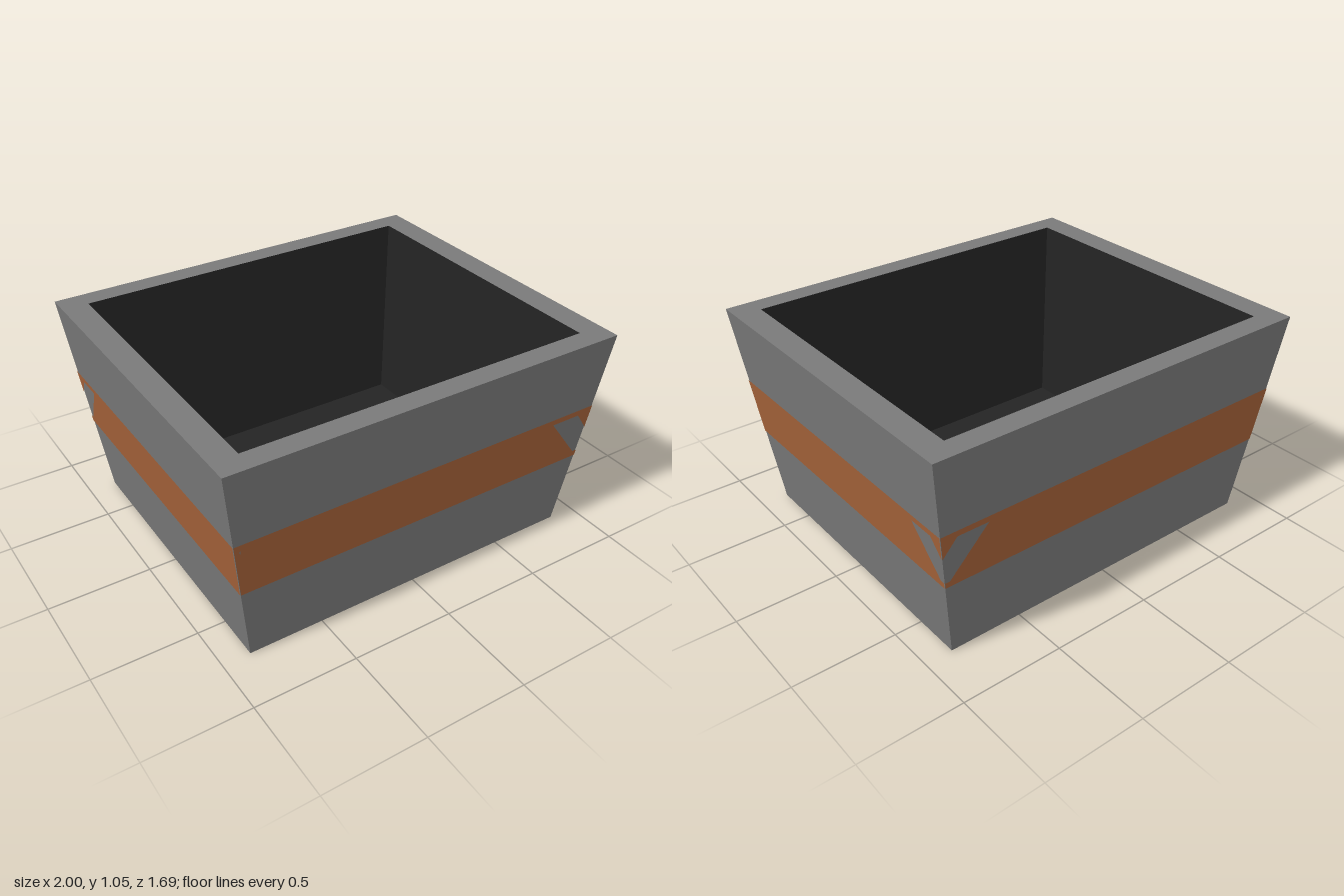
import * as THREE from 'three';

const HEIGHT = 1.05;
const DEPTH_RATIO = 0.843; // z size relative to x size
const halfX = (y) => 0.865 + (0.135 * y) / HEIGHT; // tapered outer wall

// Four corners of a rectangle at height y, counter-clockwise seen from above
const ring = (hx, hz, y) => [[-hx, y, hz], [hx, y, hz], [hx, y, -hz], [-hx, y, -hz]];

// Flat-shaded geometry from a list of quads
function quads(list) {
  const pos = [];
  for (const [a, b, c, d] of list) pos.push(...a, ...b, ...c, ...a, ...c, ...d);
  const geo = new THREE.BufferGeometry();
  geo.setAttribute('position', new THREE.Float32BufferAttribute(pos, 3));
  geo.computeVertexNormals();
  return geo;
}

// Four side quads joining one ring to the next
const skirt = (a, b) => a.map((p, i) => [p, a[(i + 1) % 4], b[(i + 1) % 4], b[i]]);

// Slanted hole with softened corners
function slantedHole(x, lo, hi, width, shift) {
  const pts = [[x, hi], [x + shift, lo], [x + shift + width, lo], [x + width, hi]]
    .map(([px, py]) => new THREE.Vector2(px, py));
  const path = new THREE.Path();
  pts.forEach((p, i) => {
    const toward = (q) => p.clone().add(q.clone().sub(p).setLength(0.025));
    const start = toward(pts[(i + 3) % 4]);
    const end = toward(pts[(i + 1) % 4]);
    if (i === 0) path.moveTo(start.x, start.y);
    else path.lineTo(start.x, start.y);
    path.quadraticCurveTo(p.x, p.y, end.x, end.y);
  });
  path.closePath();
  return path;
}

// Hazard band outline: five full holes and one cut off by the corner
function bandShape() {
  const y0 = 0.39, y1 = 0.675, lo = 0.42, hi = 0.645;
  const width = 0.155, shift = 0.18, pitch = 0.33, first = -0.935;
  const last = first + 5 * pitch;
  const cutY = 0.555;
  const shape = new THREE.Shape([
    [-halfX(y0), y0], [halfX(y0), y0], [halfX(lo), lo],
    [last + shift, lo], [last, hi], [last + width, hi],
    [halfX(cutY), cutY], [halfX(y1), y1], [-halfX(y1), y1],
  ].map(([x, y]) => new THREE.Vector2(x, y)));
  for (let i = 0; i < 5; i++) {
    shape.holes.push(slantedHole(first + i * pitch, lo, hi, width, shift));
  }
  return shape;
}

// Lay the band on a wall; sign picks the near or opposite wall
function bandGeometry(shape, alongZ, sign) {
  const geo = new THREE.ShapeGeometry(shape, 4);
  const pos = geo.attributes.position;
  for (let i = 0; i < pos.count; i++) {
    const u = pos.getX(i), y = pos.getY(i), lift = 0.003;
    if (alongZ) pos.setXYZ(i, sign * (halfX(y) + lift), y, -u * DEPTH_RATIO);
    else pos.setXYZ(i, u, y, sign * (halfX(y) * DEPTH_RATIO + lift));
  }
  if (sign < 0) geo.setIndex(Array.from(geo.index.array).reverse());
  geo.computeVertexNormals();
  return geo;
}

export function createModel() {
  const group = new THREE.Group();
  group.name = 'openContainer';
  const material = (name, color) => {
    const m = new THREE.MeshStandardMaterial({ color });
    m.name = name;
    return m;
  };
  const grey = material('grey', 0x7a7a7a);
  const dark = material('darkInterior', 0x242424);
  const orange = material('orange', 0xa6633a);
  const add = (name, geo, mat) => {
    const mesh = new THREE.Mesh(geo, mat);
    mesh.name = name;
    group.add(mesh);
  };

  const base = ring(halfX(0), halfX(0) * DEPTH_RATIO, 0);
  const top = ring(1, DEPTH_RATIO, HEIGHT);
  const mouth = ring(0.873, 0.737, HEIGHT);
  const floor = ring(0.835, 0.708, 0.06);

  // Shell
  add('outerWalls', quads(skirt(base, top)), grey);
  add('rim', quads(skirt(top, mouth)), grey);
  add('underside', quads([[...base].reverse()]), grey);

  // Interior
  add('innerWalls', quads(skirt(mouth, floor)), dark);
  add('innerFloor', quads([floor]), dark);

  // Painted hazard bands
  const shape = bandShape();
  add('frontBand', bandGeometry(shape, false, 1), orange);
  add('backBand', bandGeometry(shape, false, -1), orange);
  add('leftBand', bandGeometry(shape, true, 1), orange);
  add('rightBand', bandGeometry(shape, true, -1), orange);
  return group;
}
